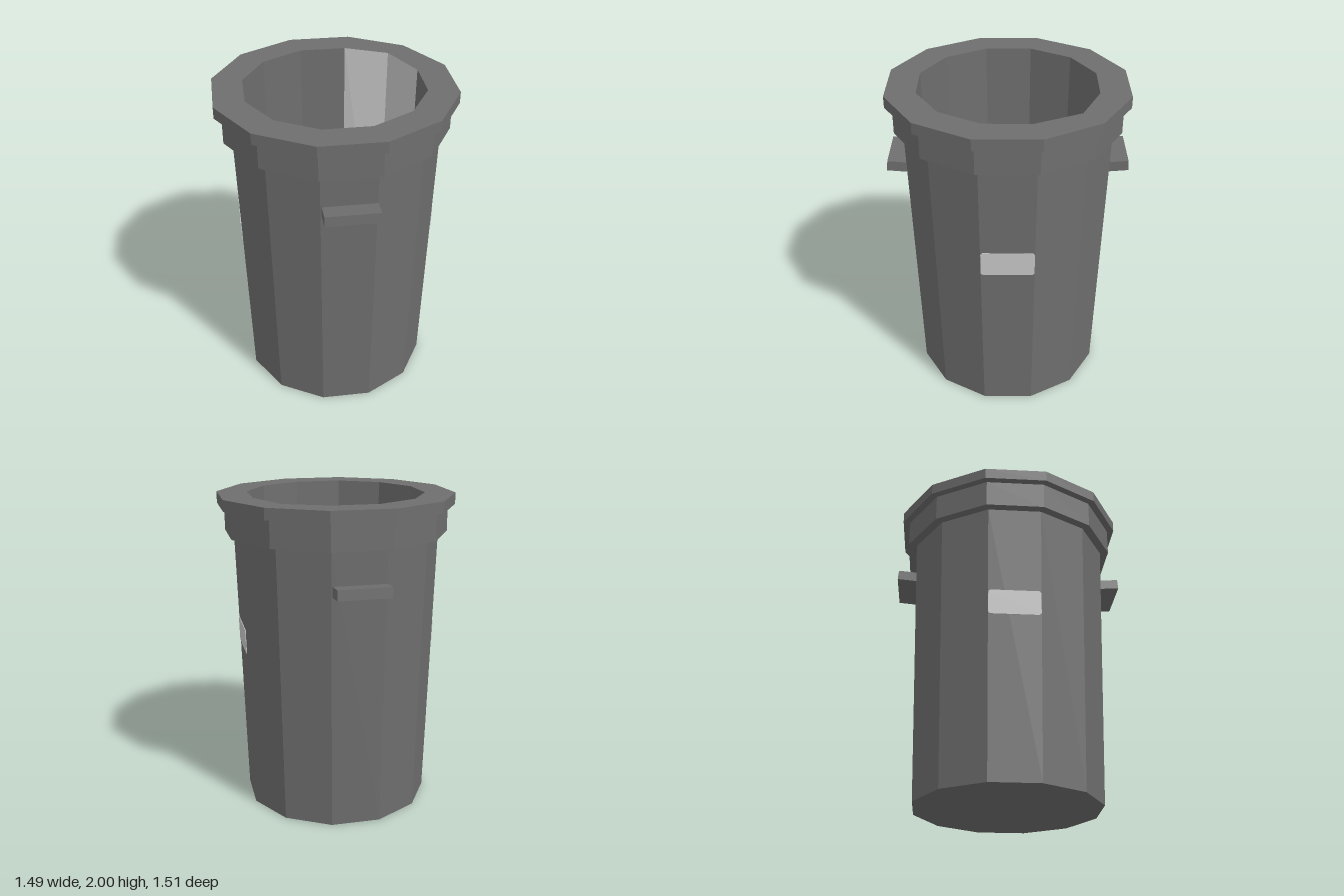
import * as THREE from 'three';

const SIDES = 12;
const STEP = (Math.PI * 2) / SIDES;
const R_BOTTOM = 0.595, R_TOP = 0.645, BODY_TOP = 1.76;
const R_MOUTH = 0.555, R_FLOOR = 0.532, FLOOR_Y = 0.06;

// Faceted ring profile; one corner of the mouth is knocked slightly outward
function faceted(profile, startSide = 0, sides = SIDES) {
  const pts = profile.map(([r, y]) => new THREE.Vector2(r, y));
  const lathe = new THREE.LatheGeometry(pts, sides, startSide * STEP, sides * STEP);
  const p = lathe.attributes.position;
  const corner = new THREE.Vector3(R_MOUTH * Math.sin(4 * STEP), 2, R_MOUTH * Math.cos(4 * STEP));
  const v = new THREE.Vector3();
  for (let i = 0; i < p.count; i++) {
    v.fromBufferAttribute(p, i);
    if (v.distanceTo(corner) < 0.01) p.setXYZ(i, 0.5, 2, -0.3);
  }
  const geo = lathe.toNonIndexed();
  geo.computeVertexNormals();
  return geo;
}

export function createModel() {
  const model = new THREE.Group();
  const bodyGrey = new THREE.MeshStandardMaterial({ color: 0x6e6e6e });
  bodyGrey.name = 'body grey';
  const lightGrey = new THREE.MeshStandardMaterial({ color: 0xc8c9c8 });
  lightGrey.name = 'light grey';

  const add = (name, geo, mat, parent = model) => {
    const mesh = new THREE.Mesh(geo, mat);
    mesh.name = name;
    parent.add(mesh);
    return mesh;
  };

  // Outer shell with stepped collar and rim
  add('body', faceted([[0, 0], [R_BOTTOM, 0], [R_TOP, BODY_TOP]]), bodyGrey);
  add('collar', faceted([[R_TOP, BODY_TOP], [0.7, BODY_TOP], [0.7, 1.93]]), bodyGrey);
  add('rim', faceted([[0.7, 1.93], [0.745, 1.93], [0.745, 2], [R_MOUTH, 2]]), bodyGrey);

  // Hollow inside, with two lighter panels
  const wall = [[R_MOUTH, 2], [R_FLOOR, FLOOR_Y]];
  add('innerWall', faceted(wall, 5, SIDES - 2), bodyGrey);
  add('innerPanels', faceted(wall, 3, 2), lightGrey);
  add('innerFloor', faceted([[R_FLOOR, FLOOR_Y], [0, FLOOR_Y]]), bodyGrey);

  // Label outline with small chamfered corners
  const w = 0.161, h = 0.08, c = 0.012;
  const outline = new THREE.Shape([
    [-w + c, -h], [w - c, -h], [w, -h + c], [w, h - c],
    [w - c, h], [-w + c, h], [-w, h - c], [-w, -h + c],
  ].map(([x, y]) => new THREE.Vector2(x, y)));
  const labelGeo = new THREE.ExtrudeGeometry(outline, { depth: 0.004, bevelEnabled: false });
  const labelY = 1.11;
  const slope = (R_TOP - R_BOTTOM) / BODY_TOP;
  const labelZ = (R_BOTTOM + slope * labelY) * Math.cos(STEP / 2);

  // Handles and labels sit on opposite facets
  for (const [side, turn] of [['front', 0], ['back', Math.PI]]) {
    const handleMount = new THREE.Group();
    handleMount.name = side + 'HandleMount';
    handleMount.rotation.y = turn - STEP / 2;
    model.add(handleMount);
    const handle = add(side + 'Handle', new THREE.BoxGeometry(0.325, 0.064, 0.13), bodyGrey, handleMount);
    handle.position.set(0.005, 1.523, 0.67);
    handle.rotation.x = -0.08;

    const labelMount = new THREE.Group();
    labelMount.name = side + 'LabelMount';
    labelMount.rotation.y = turn + STEP * 2.5;
    model.add(labelMount);
    const label = add(side + 'Label', labelGeo, lightGrey, labelMount);
    label.position.set(0, labelY, labelZ);
    label.rotation.x = Math.atan(slope * Math.cos(STEP / 2));
  }
  return model;
}
